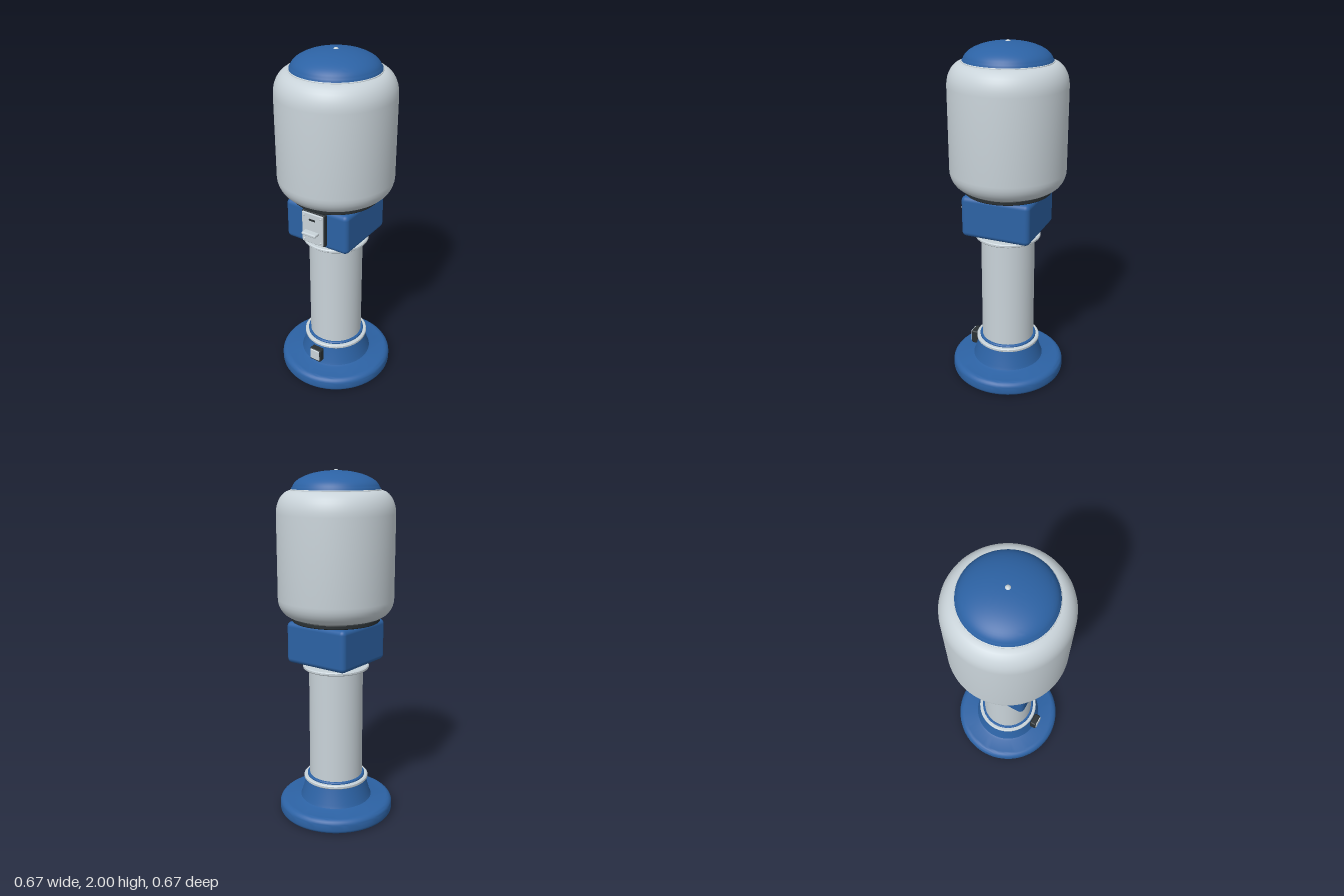
import * as THREE from 'three';
import { toCreasedNormals } from 'three/addons/utils/BufferGeometryUtils.js';
import { RoundedBoxGeometry } from 'three/addons/geometries/RoundedBoxGeometry.js';

const mat = (name, color) => {
  const m = new THREE.MeshStandardMaterial({ color });
  m.name = name;
  return m;
};

export function createModel() {
  const blue = mat('blue enamel', 0x2c62a4);
  const silver = mat('pale silver', 0xc9d3d9);
  const dark = mat('dark rubber', 0x2a3033);

  const model = new THREE.Group();
  model.name = 'candyDispenser';

  const add = (name, geometry, material, x = 0, y = 0, z = 0, parent = model) => {
    const mesh = new THREE.Mesh(geometry, material);
    mesh.name = name;
    mesh.position.set(x, y, z);
    parent.add(mesh);
    return mesh;
  };
  // Profile points run from bottom to top
  const turned = (pts, segments = 64) => toCreasedNormals(
    new THREE.LatheGeometry(pts.map(([r, y]) => new THREE.Vector2(r, y)), segments), 0.6);
  // Flat ring with a softened rim
  const collar = (r, y0, y1, b = 0.005) => turned([
    [0, y0], [r - b, y0], [r, y0 + b], [r, y1 - b], [r - b, y1], [0, y1]]);
  const block = (w, h, d, r) => new RoundedBoxGeometry(w, h, d, 4, r);
  // Quarter-ellipse arc of profile points between two angles
  const arc = (cx, cy, rx, ry, from, to, n = 8) => Array.from({ length: n + 1 }, (_, i) => {
    const a = from + (to - from) * i / n;
    return [cx + rx * Math.cos(a), cy + ry * Math.sin(a)];
  });
  const Q = Math.PI / 2;

  // Foot: rounded disc rising into a flared neck
  add('base', turned([
    [0, 0], ...arc(0.315, 0.022, 0.022, 0.022, -Q, 0, 5),
    ...arc(0.3, 0.05, 0.037, 0.034, 0, Q, 7),
    [0.225, 0.088], [0.211, 0.093], [0.204, 0.11], [0.177, 0.205], [0, 0.205]]), blue);

  // Column with its flanges
  add('lowerFlange', collar(0.19, 0.204, 0.226), silver);
  add('columnSeat', collar(0.17, 0.22, 0.237), blue);
  add('column', new THREE.CylinderGeometry(0.156, 0.156, 0.67, 64), silver, 0, 0.565);
  add('upperFlange', collar(0.19, 0.891, 0.911), silver);

  // Mechanism housing
  add('housing', block(0.406, 0.24, 0.406, 0.028), blue, 0, 1.05, 0);

  // Coin plate on the front of the housing
  const coin = new THREE.Group();
  coin.name = 'coinMechanism';
  coin.position.set(0, 1.055, 0.2);
  model.add(coin);
  add('plateBacking', block(0.152, 0.2, 0.03, 0.01), dark, 0, 0, 0.012, coin);
  add('coinPlate', block(0.138, 0.186, 0.014, 0.005), silver, 0, 0, 0.028, coin);
  add('coinSlot', new THREE.BoxGeometry(0.04, 0.01, 0.004), dark, 0, 0.055, 0.036, coin);
  add('turnHandle', block(0.092, 0.018, 0.042, 0.007), silver, 0, -0.019, 0.055, coin);
  for (const x of [-1, 1]) for (const y of [-1, 1]) {
    const bolt = add('plateBolt', new THREE.SphereGeometry(0.007, 12, 8), silver,
      x * 0.054, y * 0.075, 0.035, coin);
    bolt.scale.z = 0.6;
  }

  // Small delivery door on the foot
  add('doorFrame', block(0.078, 0.086, 0.044, 0.01), dark, 0, 0.159, 0.212);
  add('deliveryDoor', block(0.064, 0.07, 0.012, 0.005), silver, 0, 0.163, 0.232);

  // Container and its seat
  add('containerSeat', collar(0.25, 1.17, 1.196), dark);
  add('container', turned([
    [0, 1.192], ...arc(0.235, 1.3, 0.092, 0.105, -Q, 0),
    ...arc(0.24, 1.765, 0.087, 0.125, 0, Q), [0, 1.89]], 80), silver);
  add('lidRim', collar(0.247, 1.885, 1.895, 0.003), silver);

  // Domed lid with a small knob
  add('lid', turned([
    [0, 1.886], [0.236, 1.886], [0.243, 1.892], [0.242, 1.9],
    ...arc(0, 1.895, 0.238, 0.098, 0.12, Q, 16)]), blue);
  add('lidKnob', new THREE.SphereGeometry(0.016, 20, 12), silver, 0, 1.984);

  return model;
}
